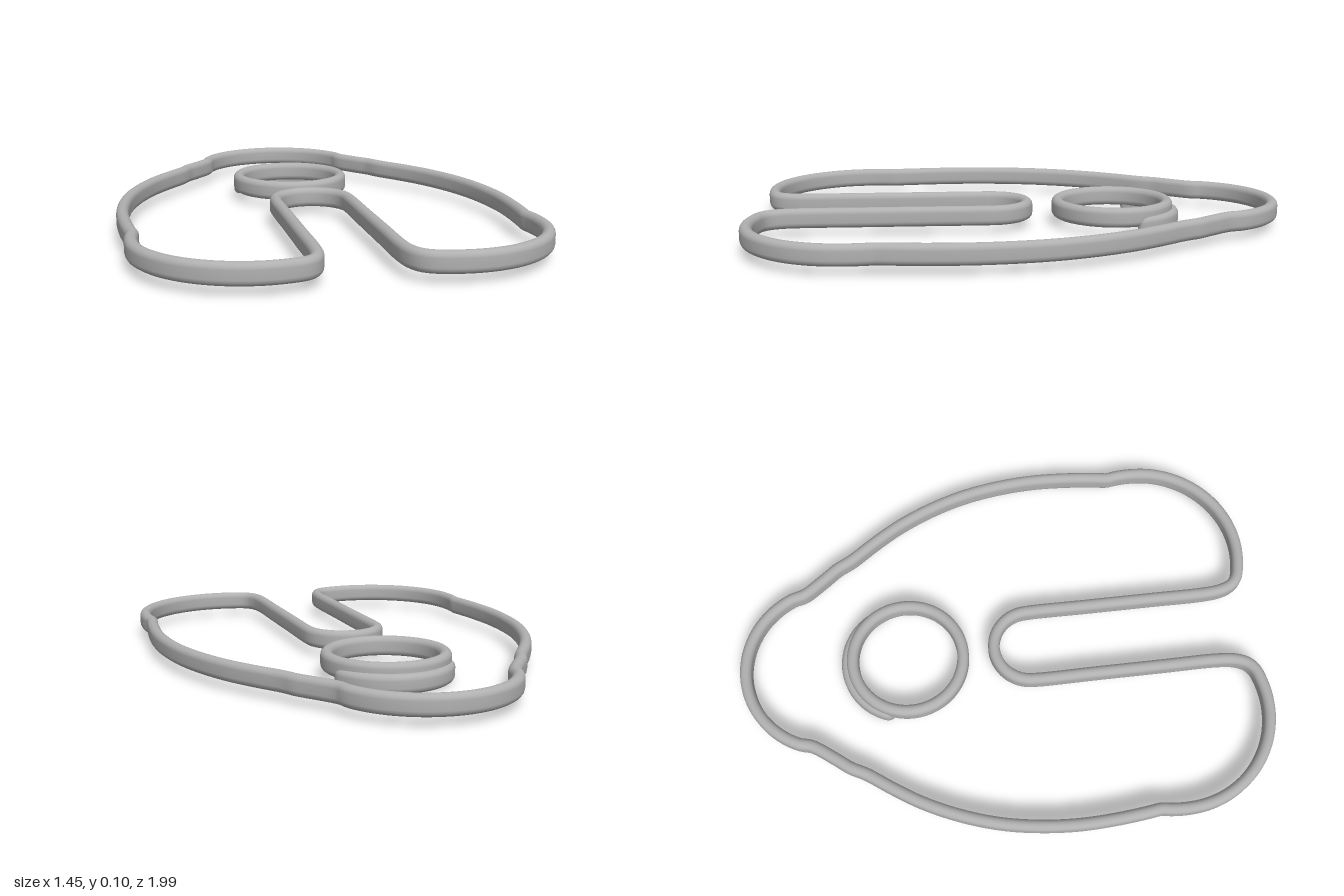
import * as THREE from 'three';

const material = new THREE.MeshStandardMaterial({ color: 0xb0b0b0 });
material.name = 'plain grey';

// Sweeps an upright, round-edged band along a flat curve; open ends are rounded off
function band(name, curve, { steps, width, bottom, top, closed = true }) {
  const r = width / 2, straight = (top - bottom) / 2 - r, mid = (top + bottom) / 2;
  const section = [];
  for (let k = 0; k < 2; k++) {
    for (let i = 0; i <= 8; i++) {
      const a = Math.PI * (k + i / 8);
      section.push([r * Math.cos(a), r * Math.sin(a) + (k ? -straight : straight)]);
    }
  }
  const n = section.length, rings = closed ? steps : steps + 1;
  const length = curve.getLength(), cap = 0.04;
  const pos = [], index = [];
  for (let i = 0; i < rings; i++) {
    const u = i / steps, p = curve.getPointAt(u), t = curve.getTangentAt(u);
    let s = 1;
    if (!closed) {
      const d = Math.min(1, (Math.min(u, 1 - u) * length) / cap);
      s = Math.max(0.001, Math.sqrt(1 - (1 - d) ** 2));
    }
    for (const [a, b] of section) pos.push(p.x - t.z * a * s, mid + b * s, p.z + t.x * a * s);
  }
  for (let i = 0; i < steps; i++) {
    const i2 = (i + 1) % rings;
    for (let j = 0; j < n; j++) {
      const j2 = (j + 1) % n;
      const a = i * n + j, b = i2 * n + j, c = i2 * n + j2, d = i * n + j2;
      index.push(a, b, d, b, c, d);
    }
  }
  const g = new THREE.BufferGeometry();
  g.setAttribute('position', new THREE.Float32BufferAttribute(pos, 3));
  g.setIndex(index);
  g.computeVertexNormals();
  const mesh = new THREE.Mesh(g, material);
  mesh.name = name;
  return mesh;
}

// Points on a circular arc in the ground plane, angles in degrees from +x towards +z
function arc(cx, cz, r, from, to, count) {
  return Array.from({ length: count + 1 }, (_, i) => {
    const a = THREE.MathUtils.degToRad(from + ((to - from) * i) / count);
    return [cx + r * Math.cos(a), cz + r * Math.sin(a)];
  });
}

const toCurve = (pts, closed) =>
  new THREE.CatmullRomCurve3(pts.map(([x, z]) => new THREE.Vector3(x, 0, z)), closed, 'centripetal');

export function createModel() {
  const group = new THREE.Group();
  group.name = 'outlineCutter';

  // Half of the outline, from the back tip round to the end of the slot
  const half = [
    ...arc(0, -0.66, 0.32, -90, -24, 6),
    [0.305, -0.745], [0.36, -0.665], [0.405, -0.605], [0.42, -0.575], [0.437, -0.545],
    [0.5, -0.455], [0.565, -0.35], [0.625, -0.22], [0.67, -0.08], [0.695, 0.06],
    [0.705, 0.2], [0.7, 0.34], [0.688, 0.46], [0.682, 0.505], [0.687, 0.54],
    ...arc(0.32, 0.6, 0.37, 0, 104, 9),
    [0.19, 0.945], [0.163, 0.92], [0.145, 0.875], [0.138, 0.81], [0.138, 0.6], [0.138, 0.35],
    ...arc(0, 0.106, 0.138, 0, -90, 6),
  ];
  half[half.length - 1][0] = 0;
  half[0][0] = 0;
  const mirrored = half.slice(1, -1).reverse().map(([x, z]) => [-x, z]);
  group.add(band('outlineBand', toCurve([...half, ...mirrored], true),
    { steps: 480, width: 0.044, bottom: 0.03, top: 0.105 }));

  // Round eye
  group.add(band('eyeRing', toCurve(arc(0, -0.363, 0.211, 0, 360, 32).slice(0, -1), true),
    { steps: 96, width: 0.044, bottom: 0.03, top: 0.105 }));

  // Brow arc tucked under the back of the eye
  group.add(band('browArc', toCurve(arc(0, -0.385, 0.213, -168, -12, 20), false),
    { steps: 90, width: 0.044, bottom: 0, top: 0.07, closed: false }));

  return group;
}
